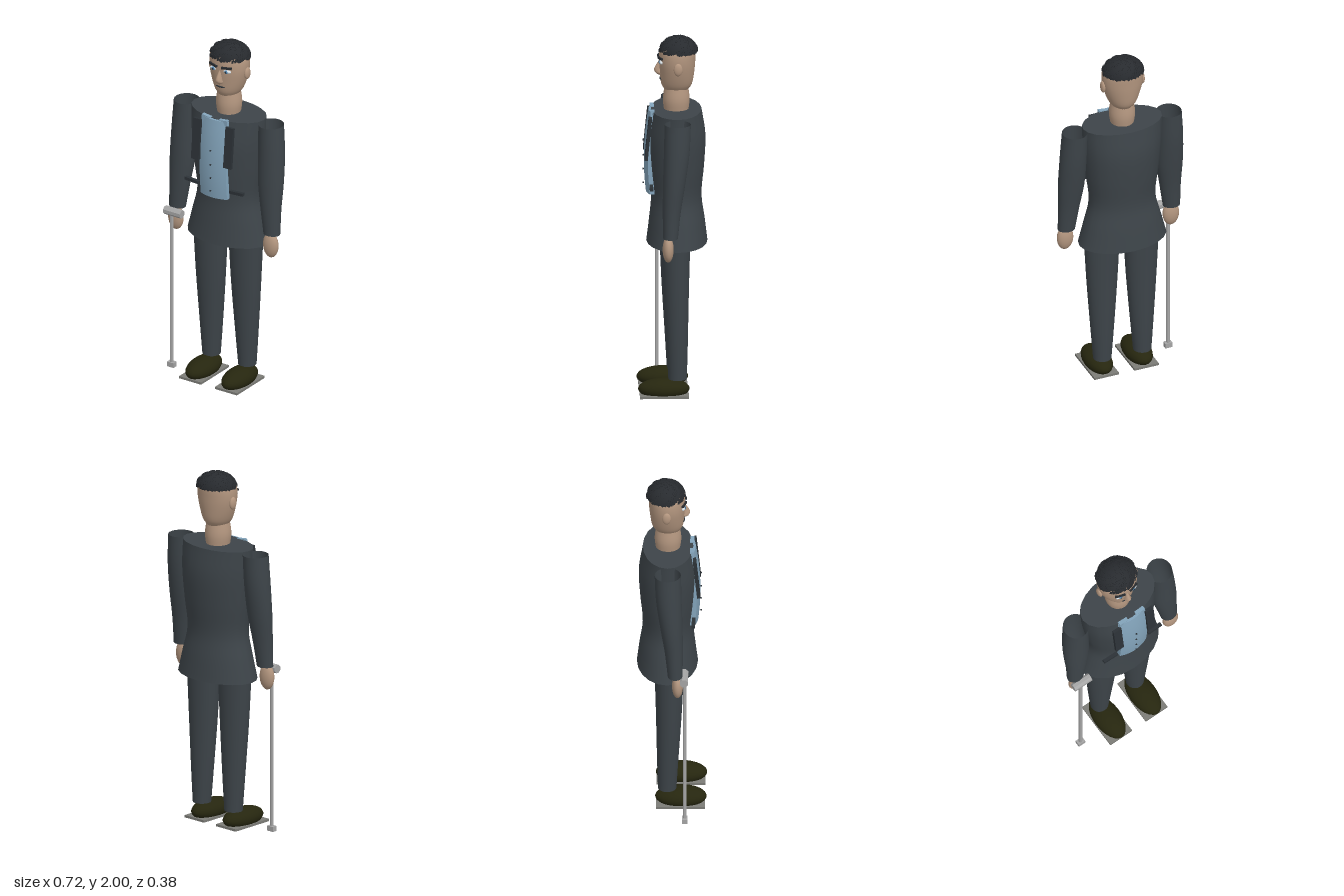
import * as THREE from 'three';
import { mergeGeometries } from 'three/addons/utils/BufferGeometryUtils.js';

const mat = (name, color, side = THREE.FrontSide) => {
  const m = new THREE.MeshStandardMaterial({ color, side });
  m.name = name;
  return m;
};

// Smooth elliptical loft through sections [y, cx, cz, rx, rz], listed bottom to top.
function loft(sections, segs = 24, rows = 20, cap = true) {
  const centre = new THREE.CatmullRomCurve3(sections.map(s => new THREE.Vector3(s[1], s[0], s[2])));
  const radius = new THREE.CatmullRomCurve3(sections.map(s => new THREE.Vector3(s[3], s[4], s[0])));
  const pos = [], idx = [];
  const ring = t => {
    const c = centre.getPoint(t), r = radius.getPoint(t);
    for (let j = 0; j < segs; j++) {
      const a = (j / segs) * Math.PI * 2;
      pos.push(c.x + Math.sin(a) * r.x, c.y, c.z + Math.cos(a) * r.y);
    }
    return c;
  };
  for (let i = 0; i <= rows; i++) ring(i / rows);
  for (let i = 0; i < rows; i++) {
    for (let j = 0; j < segs; j++) {
      const k = (j + 1) % segs, a = i * segs + j, b = i * segs + k;
      idx.push(a, b, b + segs, a, b + segs, a + segs);
    }
  }
  // Caps use their own vertices so the rim stays sharp
  if (cap) {
    for (const t of [0, 1]) {
      const start = pos.length / 3, c = ring(t), mid = start + segs;
      pos.push(c.x, c.y, c.z);
      for (let j = 0; j < segs; j++) {
        const a = start + j, b = start + (j + 1) % segs;
        if (t) idx.push(mid, a, b); else idx.push(mid, b, a);
      }
    }
  }
  const g = new THREE.BufferGeometry();
  g.setAttribute('position', new THREE.Float32BufferAttribute(pos, 3));
  g.setIndex(idx);
  g.computeVertexNormals();
  return g;
}

export function createModel() {
  const model = new THREE.Group();
  const suit = mat('suit', 0x3d4449, THREE.DoubleSide);
  const trim = mat('suitTrim', 0x2c3237);
  const shirtBlue = mat('shirtBlue', 0x83a4bb);
  const skin = mat('skin', 0xb3967f);
  const hairDark = mat('hairDark', 0x282b2f);
  const shoeDark = mat('shoeDark', 0x26260f);
  const soleGrey = mat('soleGrey', 0x7c7c77);
  const metal = mat('metal', 0xa6a6a6);
  const eyeWhite = mat('eyeWhite', 0xd5dde2);
  const eyeBlue = mat('eyeBlue', 0x4d7fa8);

  const add = (name, geo, material, x = 0, y = 0, z = 0) => {
    const m = new THREE.Mesh(geo, material);
    m.name = name;
    m.position.set(x, y, z);
    model.add(m);
    return m;
  };
  const ball = (name, material, p, r, segs = 20) => {
    const m = add(name, new THREE.SphereGeometry(1, segs, Math.ceil(segs * 0.7)), material, ...p);
    m.scale.set(...r);
    return m;
  };
  const box = (name, material, p, s) => add(name, new THREE.BoxGeometry(...s), material, ...p);

  // Jacket body
  add('jacket', loft([
    [0.855, 0, -0.025, 0.25, 0.165], [0.98, 0, -0.025, 0.218, 0.15],
    [1.11, 0, -0.022, 0.187, 0.136], [1.28, 0, -0.022, 0.205, 0.15],
    [1.45, 0, -0.022, 0.222, 0.157], [1.595, 0, -0.022, 0.228, 0.136],
  ], 20, 20), suit);

  // Neck and head
  add('neck', loft([
    [1.58, 0, -0.022, 0.062, 0.065], [1.65, 0, -0.022, 0.071, 0.072], [1.73, 0, -0.022, 0.06, 0.062],
  ], 24, 8), skin);
  add('head', loft([
    [1.7, 0, -0.022, 0.053, 0.062], [1.735, 0, -0.024, 0.077, 0.083],
    [1.8, 0, -0.026, 0.101, 0.093], [1.87, 0, -0.027, 0.115, 0.098],
    [1.935, 0, -0.03, 0.109, 0.095], [1.972, 0, -0.03, 0.072, 0.066], [1.984, 0, -0.03, 0.015, 0.015],
  ], 28, 24), skin);
  add('nose', loft([
    [1.785, 0, 0.065, 0.008, 0.01], [1.797, 0, 0.068, 0.021, 0.022],
    [1.815, 0, 0.072, 0.017, 0.026], [1.865, 0, 0.062, 0.007, 0.01],
  ], 12, 10), skin);
  ball('mouth', trim, [0, 1.766, 0.062], [0.03, 0.005, 0.007], 12);

  // Curly hair: small blocks laid out in a sunflower spiral over the crown
  const curls = [], count = 620, up = new THREE.Vector3(0, 1, 0);
  for (let i = 0; i < count; i++) {
    const h = 1 - 0.9 * (i + 0.5) / count, a = i * 2.39996;
    const s = Math.sqrt(1 - h * h);
    const n = new THREE.Vector3(Math.cos(a) * s, h, Math.sin(a) * s);
    const lift = 1 + 0.03 * Math.sin(i * 12.9);
    const g = new THREE.BoxGeometry(0.012, 0.016, 0.012);
    g.rotateY(i * 1.7);
    g.applyQuaternion(new THREE.Quaternion().setFromUnitVectors(up, n));
    g.translate(n.x * 0.108 * lift, 1.913 + n.y * 0.076 * lift, -0.034 + n.z * 0.097 * lift);
    curls.push(g);
  }
  add('hair', mergeGeometries(curls), hairDark);

  // Shirt front: a plate bowed across the chest and leaning with it
  const shirt = new THREE.BoxGeometry(0.172, 0.458, 0.03, 10, 12, 1);
  const p = shirt.attributes.position;
  for (let i = 0; i < p.count; i++) {
    const x = p.getX(i), t = p.getY(i) + 0.229;
    const bow = 0.121 + 0.12 * t - 0.33 * t * t;
    p.setZ(i, p.getZ(i) + bow + 0.006 - 2.6 * x * x);
  }
  shirt.computeVertexNormals();
  add('shirtFront', shirt, shirtBlue, 0, 1.364, 0);
  [1.42, 1.335, 1.257, 1.18].forEach(y => ball('button', trim, [0, y, 0.156], [0.005, 0.005, 0.005], 8));

  // Mirrored parts; s = 1 is the model's left
  for (const s of [1, -1]) {
    add('sleeve', loft([
      [0.955, s * 0.308, 0.02, 0.048, 0.04], [1.1, s * 0.297, 0.013, 0.06, 0.049],
      [1.25, s * 0.288, 0, 0.074, 0.06], [1.42, s * 0.283, -0.014, 0.074, 0.069],
      [1.585, s * 0.276, -0.02, 0.069, 0.071],
    ], 24, 14, false), suit);
    ball('hand', skin, [s * 0.31, 0.893, 0.033], [0.047, 0.073, 0.03]);
    add('trouserLeg', loft([
      [0.11, s * 0.117, -0.025, 0.05, 0.05], [0.3, s * 0.116, -0.022, 0.065, 0.058],
      [0.6, s * 0.115, -0.016, 0.086, 0.07], [0.89, s * 0.115, -0.014, 0.101, 0.08],
    ], 24, 12), suit);
    ball('shoe', shoeDark, [s * 0.117, 0.056, 0.049], [0.074, 0.056, 0.139], 24);
    box('sole', soleGrey, [s * 0.117, 0.023, 0.047], [0.143, 0.013, 0.264]);

    // Lapel, collar and pocket flap
    const lapel = box('lapel', trim, [s * 0.105, 1.455, 0.133], [0.05, 0.235, 0.017]);
    lapel.rotation.x = -0.1;
    const collar = box('collar', shirtBlue, [s * 0.057, 1.572, 0.108], [0.056, 0.055, 0.022]);
    collar.rotation.z = s * 0.12;
    const pocket = box('pocketFlap', trim, [s * 0.145, 1.19, 0.117], [0.088, 0.017, 0.019]);
    pocket.rotation.z = s * 0.06;

    // Ear, eye and brow
    ball('ear', skin, [s * 0.115, 1.842, -0.028], [0.013, 0.035, 0.024], 16);
    ball('eye', eyeWhite, [s * 0.042, 1.866, 0.06], [0.026, 0.011, 0.012], 16);
    ball('iris', eyeBlue, [s * 0.042, 1.866, 0.068], [0.011, 0.01, 0.007], 14);
    ball('pupil', hairDark, [s * 0.042, 1.866, 0.0735], [0.005, 0.005, 0.003], 10);
    const brow = box('brow', hairDark, [s * 0.043, 1.888, 0.066], [0.058, 0.011, 0.012]);
    brow.rotation.set(0, s * 0.3, s * 0.04);
  }

  // Walking cane: shaft, octagonal handle, square tip
  const flat = (r, len, n, turn) => new THREE.CylinderGeometry(r, r, len, n).rotateY(turn).toNonIndexed();
  const facet = g => { g.computeVertexNormals(); return g; };
  add('caneShaft', facet(flat(0.01, 0.89, 8, Math.PI / 8)), metal, -0.31, 0.475, 0.072);
  add('caneHandle', facet(flat(0.024, 0.11, 8, Math.PI / 8).rotateZ(Math.PI / 2)), metal, -0.3, 0.936, 0.068);
  box('caneTip', metal, [-0.31, 0.027, 0.072], [0.042, 0.028, 0.03]);

  return model;
}
